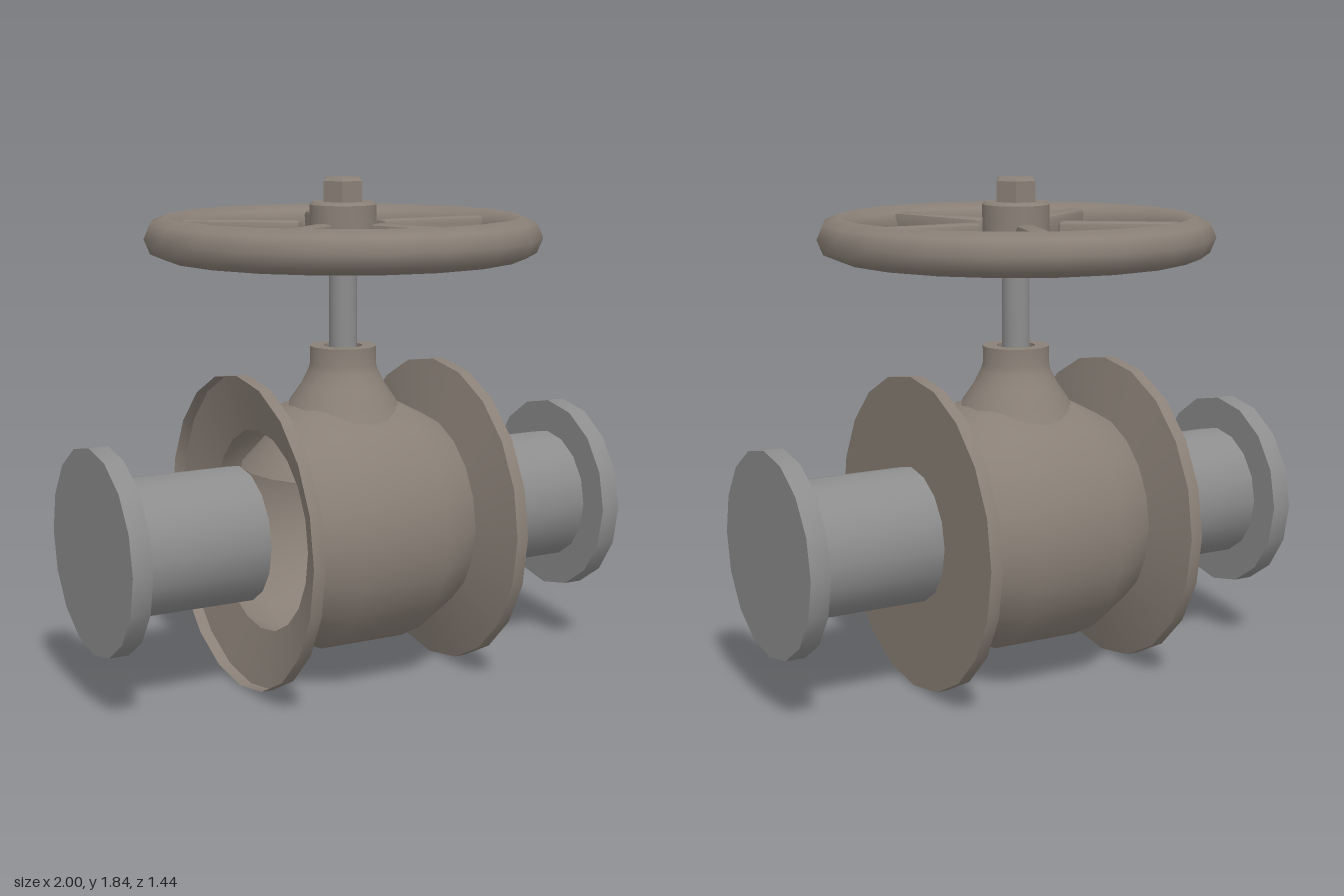
import * as THREE from 'three';
import { toCreasedNormals } from 'three/addons/utils/BufferGeometryUtils.js';
import { RoundedBoxGeometry } from 'three/addons/geometries/RoundedBoxGeometry.js';

const AXIS_Y = 0.576; // height of the pipe axis
const WHEEL_Y = 1.63; // height of the handwheel

const castIron = new THREE.MeshStandardMaterial({ color: 0x8a8077 });
const castIronOpen = new THREE.MeshStandardMaterial({ color: 0x8a8077, side: THREE.DoubleSide });
const steel = new THREE.MeshStandardMaterial({ color: 0x8d8d8d });

// Turned part from [radius, height] points, listed from bottom to top
function turned(name, points, sides, material) {
  const profile = points.map(([r, y]) => new THREE.Vector2(r, y));
  const geometry = toCreasedNormals(new THREE.LatheGeometry(profile, sides), 0.6);
  const mesh = new THREE.Mesh(geometry, material);
  mesh.name = name;
  return mesh;
}

export function createModel() {
  const model = new THREE.Group();
  model.name = 'gateValve';

  // Hollow shell with two dished flanges; its right end is open, its left end closed
  const body = turned('body', [
    [0.576, -0.435], [0.576, -0.39], [0.37, -0.347],
    [0.46, -0.17], [0.46, 0.17],
    [0.37, 0.347], [0.576, 0.39], [0.576, 0.435], [0, 0.435],
  ], 20, castIronOpen);
  body.rotation.z = -Math.PI / 2;
  body.position.y = AXIS_Y;
  model.add(body);

  // Pipe stub with end flange on each side
  for (const side of [-1, 1]) {
    const pipe = turned(side > 0 ? 'leftPipe' : 'rightPipe', [
      [0, 0.425], [0.247, 0.425], [0.247, 0.927], [0.37, 0.927], [0.37, 1], [0, 1],
    ], 16, steel);
    pipe.rotation.z = -side * Math.PI / 2;
    pipe.position.y = AXIS_Y;
    model.add(pipe);
  }

  // Flared bonnet reaching into the body, with a recess around the stem
  model.add(turned('bonnet', [
    [0.38, 0.79], [0.29, 0.89], [0.215, 0.985], [0.197, 1.03], [0.155, 1.09],
    [0.13, 1.14], [0.122, 1.165], [0.122, 1.232], [0.07, 1.232], [0.07, 1.18], [0, 1.18],
  ], 20, castIronOpen));

  // Stem
  model.add(turned('stem', [[0, 1.15], [0.051, 1.15], [0.051, 1.6], [0, 1.6]], 16, steel));

  // Handwheel: rim, hub, nut and five spokes
  const wheel = new THREE.Group();
  wheel.name = 'handwheel';
  wheel.position.y = WHEEL_Y;
  model.add(wheel);

  const rim = new THREE.Mesh(new THREE.TorusGeometry(0.645, 0.076, 8, 20), castIron);
  rim.name = 'rim';
  rim.rotation.x = Math.PI / 2;
  wheel.add(rim);

  wheel.add(turned('hub', [
    [0, -0.128], [0.112, -0.128], [0.122, -0.118], [0.122, 0.115], [0.112, 0.125], [0, 0.125],
  ], 20, castIron));

  const nut = turned('nut', [
    [0, 0.12], [0.08, 0.12], [0.08, 0.2], [0.068, 0.212], [0, 0.212],
  ], 6, castIron);
  nut.rotation.y = Math.PI / 6;
  wheel.add(nut);

  const spokeGeometry = toCreasedNormals(new RoundedBoxGeometry(0.44, 0.11, 0.075, 1, 0.018), 0.6);
  spokeGeometry.translate(0.375, 0, 0);
  for (let i = 0; i < 5; i++) {
    const spoke = new THREE.Mesh(spokeGeometry, castIron);
    spoke.name = 'spoke' + (i + 1);
    spoke.rotation.y = (i * 2 * Math.PI) / 5;
    wheel.add(spoke);
  }

  return model;
}
